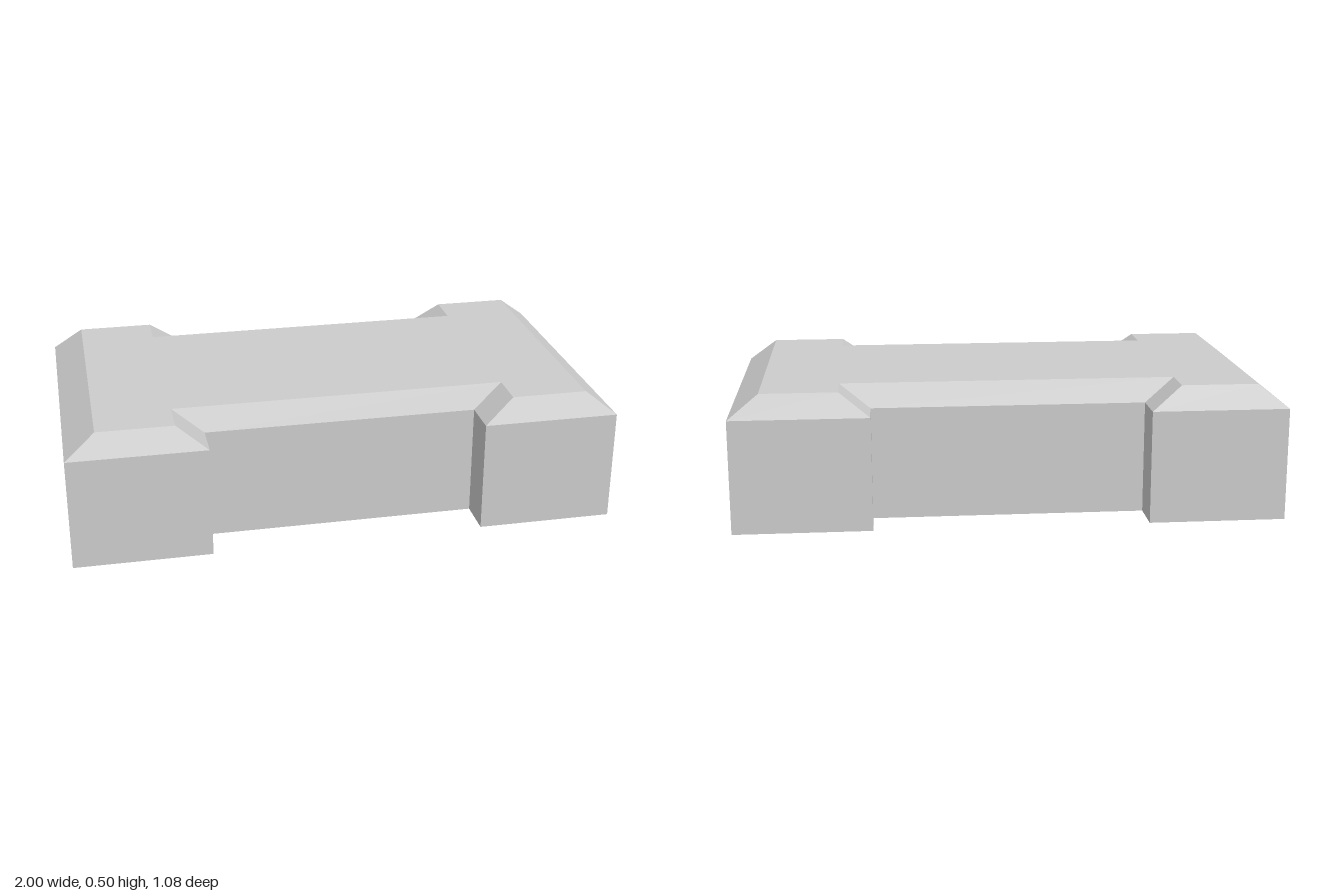
import * as THREE from 'three';

// H-shaped outline, counter-clockwise seen from above:
// half length, half depth, inner edge of the corner blocks, half depth of the middle
const outline = (x, z, nx, nz) => [
  [x, z], [x, -z], [nx, -z], [nx, -nz], [-nx, -nz], [-nx, -z],
  [-x, -z], [-x, z], [-nx, z], [-nx, nz], [nx, nz], [nx, z],
];

// Flat-shaded geometry from a list of corner triples
function facets(points) {
  const geometry = new THREE.BufferGeometry().setFromPoints(points);
  geometry.computeVertexNormals();
  return geometry;
}

// Band of quads joining two outlines at different heights
function band(lower, y0, upper, y1) {
  const points = [];
  lower.forEach((p, i) => {
    const j = (i + 1) % lower.length;
    const a = new THREE.Vector3(p[0], y0, p[1]);
    const b = new THREE.Vector3(lower[j][0], y0, lower[j][1]);
    const c = new THREE.Vector3(upper[j][0], y1, upper[j][1]);
    const d = new THREE.Vector3(upper[i][0], y1, upper[i][1]);
    points.push(a, b, c, a, c, d);
  });
  return facets(points);
}

// Flat face filling an outline, facing up or down
function cap(loop, y, up) {
  const flat = loop.map(([x, z]) => new THREE.Vector2(x, -z));
  const points = [];
  for (const face of THREE.ShapeUtils.triangulateShape(flat, [])) {
    const corners = up ? face : [...face].reverse();
    for (const i of corners) points.push(new THREE.Vector3(loop[i][0], y, loop[i][1]));
  }
  return facets(points);
}

export function createModel() {
  const group = new THREE.Group();
  group.name = 'block';
  const material = new THREE.MeshStandardMaterial({ color: 0xcccccc, flatShading: true });
  const add = (name, geometry) => {
    const mesh = new THREE.Mesh(geometry, material);
    mesh.name = name;
    group.add(mesh);
  };

  const base = outline(1, 0.54, 0.5, 0.395);
  const top = outline(0.89, 0.497, 0.612, 0.355);
  const shoulder = 0.415, height = 0.5;

  add('underside', cap(base, 0, false));
  add('walls', band(base, 0, base, shoulder));
  add('bevel', band(base, shoulder, top, height));
  add('topFace', cap(top, height, true));
  return group;
}
